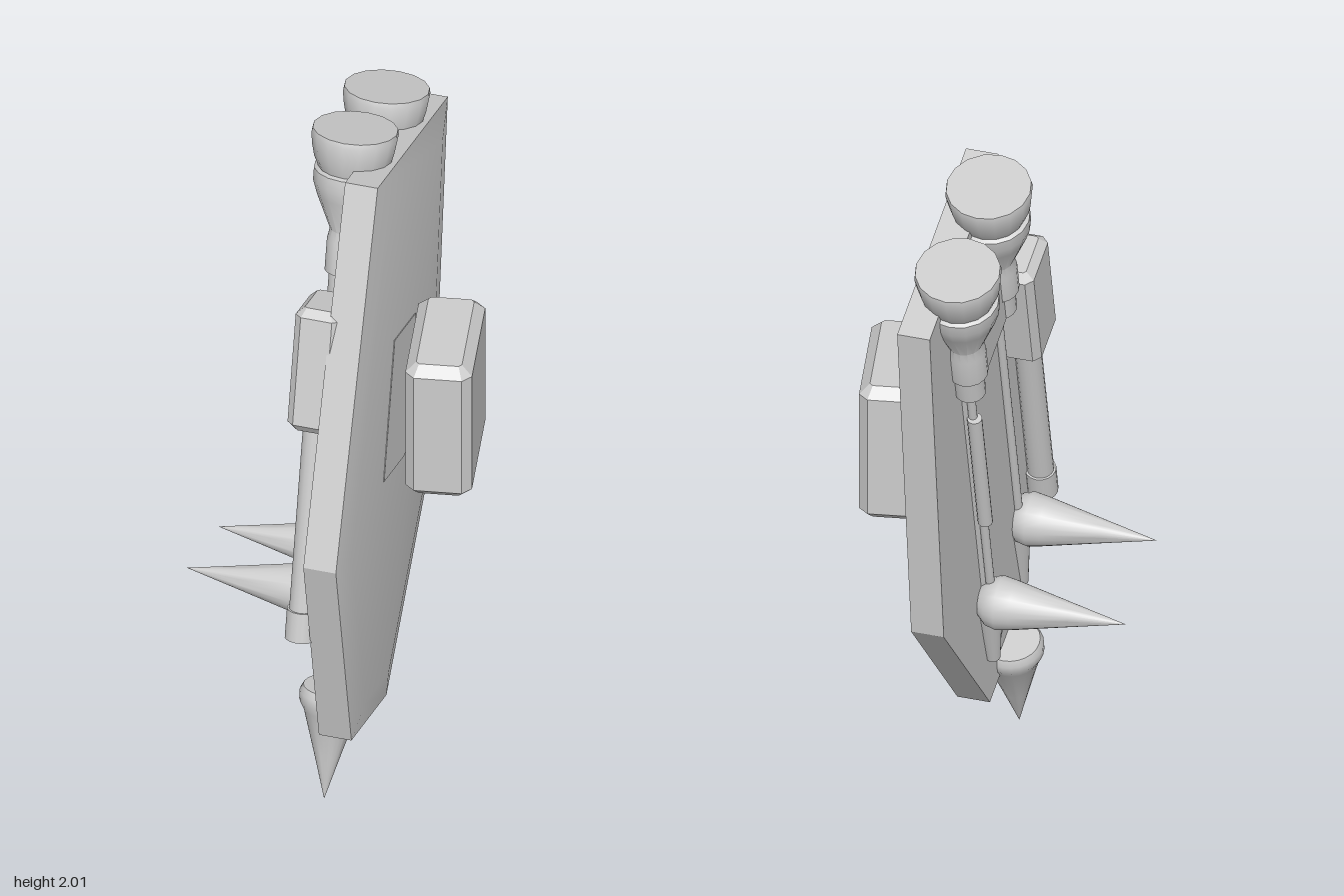
import * as THREE from 'three';
import { toCreasedNormals } from 'three/addons/utils/BufferGeometryUtils.js';

export function createModel() {
  const model = new THREE.Group();
  model.name = 'thrusterShield';
  const grey = new THREE.MeshStandardMaterial({ color: 0xcccccc });
  grey.name = 'plain grey';

  // Tilted frame of the shield: x = outward, y = along its length, z = across
  const shield = new THREE.Group();
  shield.name = 'shieldAssembly';
  shield.position.set(0.108, 0.25, 0.21);
  shield.rotation.set(-0.244, -0.176, 0, 'YXZ');
  model.add(shield);

  const add = (name, geometry, x, y, z, parent = shield) => {
    const mesh = new THREE.Mesh(geometry, grey);
    mesh.name = name;
    mesh.position.set(x, y, z);
    parent.add(mesh);
    return mesh;
  };
  const box = (w, h, d) => new THREE.BoxGeometry(w, h, d);
  const rod = (r, h) => new THREE.CylinderGeometry(r, r, h, 16);
  const polygon = (points) => new THREE.Shape(points.map(([x, y]) => new THREE.Vector2(x, y)));
  // Profile points are [radius, height], bottom to top
  const lathe = (points, sides = 16) => toCreasedNormals(
    new THREE.LatheGeometry(points.map(([r, y]) => new THREE.Vector2(r, y)), sides), 0.6);
  // Box with chamfered ends and narrowly cut upright edges
  const chamferBox = (w, h, d, c) => {
    const x = w / 2 - c, z = d / 2 - c, k = c * 0.3;
    const section = polygon([
      [-x + k, -z], [x - k, -z], [x, -z + k], [x, z - k],
      [x - k, z], [-x + k, z], [-x, z - k], [-x, -z + k],
    ]);
    const geometry = new THREE.ExtrudeGeometry(section, {
      depth: h - 2 * c, bevelThickness: c, bevelSize: c, bevelSegments: 1,
    });
    return geometry.translate(0, 0, c - h / 2).rotateX(-Math.PI / 2);
  };

  // Six-sided armour plate with a shallow cushioned outer face
  const outline = polygon([
    [-0.165, -0.005], [0.168, -0.005], [0.466, 0.597], [0.333, 1.66], [-0.333, 1.66], [-0.462, 0.597],
  ]);
  const plate = new THREE.ExtrudeGeometry(outline, { depth: 0.09, bevelEnabled: false });
  add('armourPlate', plate.rotateY(-Math.PI / 2), 0.003, 0, 0);
  const cushion = new THREE.ExtrudeGeometry(outline, {
    depth: 0.02, bevelThickness: 0.016, bevelSize: 0.09, bevelOffset: -0.091, bevelSegments: 1,
  });
  add('outerCushion', toCreasedNormals(cushion.rotateY(-Math.PI / 2), 0.6), 0.003, 0, 0);
  add('blockPad', box(0.03, 0.41, 0.2), 0.006, 0.925, 0);

  // Inner panel and the bar that carries the thrusters
  add('innerPanel', box(0.03, 1.08, 0.28), -0.09, 0.71, 0);
  add('thrusterBar', box(0.06, 0.17, 0.3), -0.11, 1.33, 0);

  // Thruster with a flared nozzle, throat and stub
  const thruster = lathe([
    [0, 1.25], [0.042, 1.25], [0.042, 1.33], [0.054, 1.33], [0.054, 1.42], [0.048, 1.45],
    [0.09, 1.55], [0.103, 1.59], [0.103, 1.625], [0.092, 1.63], [0.105, 1.66],
    [0.112, 1.69], [0.117, 1.725], [0.114, 1.74], [0, 1.74],
  ]);
  // Spike pointing away from the inner face, with a rounded root
  const spike = lathe([
    [0, -0.04], [0.045, -0.032], [0.066, -0.01], [0.074, 0.02], [0.067, 0.06], [0.033, 0.215], [0, 0.367],
  ], 24);
  for (const side of [-1, 1]) {
    const z = side * 0.15;
    add('thruster', thruster, -0.117, 0, z + 0.002);
    add('spike', spike, -0.12, 0.396, z).rotation.z = Math.PI / 2;
    add('spikeMount', new THREE.CylinderGeometry(0.045, 0.02, 0.26, 16), -0.098, 0.28, z * 0.9);
    add('fuelLine', rod(0.012, 0.9), -0.112, 0.85, z * 0.9);
  }
  add('fuelLineSleeve', rod(0.02, 0.42), -0.118, 0.92, -0.14);

  // Large rod with housing and end collar along the front edge
  add('rodHousing', chamferBox(0.125, 0.355, 0.175, 0.022), -0.122, 1.122, 0.305);
  add('longRod', rod(0.036, 0.64), -0.12, 0.67, 0.313);
  add('rodCollar', rod(0.042, 0.085), -0.12, 0.37, 0.313);

  // Downward spike with a rounded rim
  add('lowerSpike', lathe([
    [0, -0.26], [0.036, -0.13], [0.073, 0], [0.086, 0.025], [0.087, 0.05], [0.078, 0.068], [0, 0.068],
  ], 24), -0.103, 0, 0);

  // Chamfered outer block, upright beside the plate
  add('outerBlock', chamferBox(0.178, 0.428, 0.354, 0.028), 0.287, 1.152, -0.02, model);

  return model;
}
